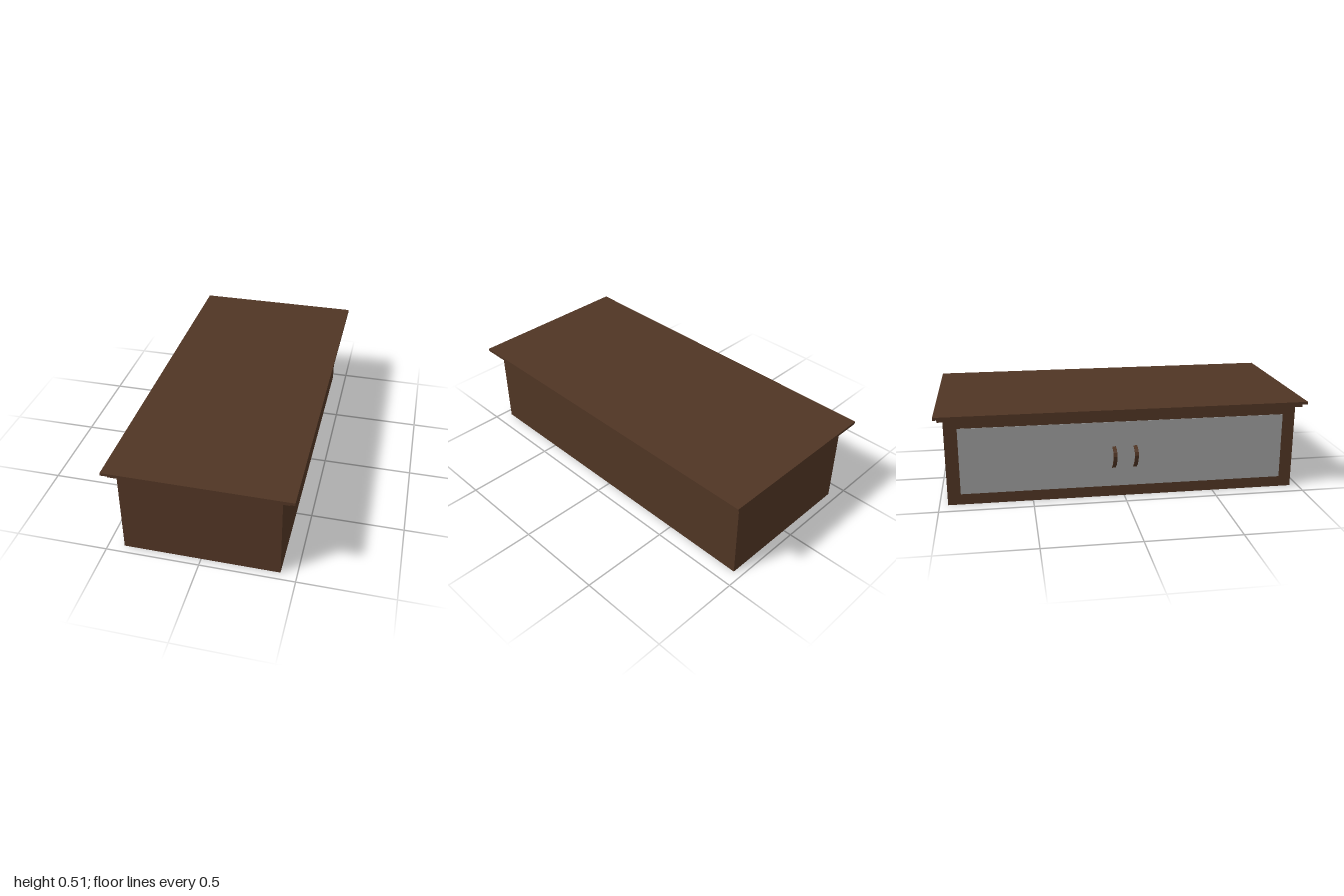
import * as THREE from 'three';

export function createModel() {
  const model = new THREE.Group();
  const wood = new THREE.MeshStandardMaterial({ color: 0x503524 });
  wood.name = 'dark wood';
  const panel = new THREE.MeshStandardMaterial({ color: 0x9c9c9c });
  panel.name = 'grey panel';

  const box = (name, w, h, d, x, y, z, material = wood) => {
    const mesh = new THREE.Mesh(new THREE.BoxGeometry(w, h, d), material);
    mesh.name = name;
    mesh.position.set(x, y, z);
    model.add(mesh);
  };

  // Cabinet body and stepped top
  box('body', 0.83, 0.475, 1.91, 0, 0.2375, 0);
  box('moulding', 0.904, 0.02, 1.964, 0, 0.485, 0);
  box('topSlab', 0.96, 0.015, 2, 0, 0.5025, 0);

  // Inset panel on the handle side
  box('doorPanel', 0.006, 0.366, 1.77, -0.415, 0.243, 0, panel);

  // Crescent pull handles: outer curve down, inner curve back up
  const outer = [[-0.423, 0.29], [-0.459, 0.281], [-0.474, 0.269], [-0.48, 0.25],
    [-0.473, 0.221], [-0.449, 0.189], [-0.421, 0.17], [-0.421, 0.166], [-0.414, 0.166]];
  const inner = [[-0.414, 0.171], [-0.421, 0.173], [-0.446, 0.195], [-0.465, 0.228],
    [-0.467, 0.252], [-0.462, 0.27], [-0.454, 0.277], [-0.423, 0.285]];
  const profile = new THREE.Shape([...outer, ...inner].map(([x, y]) => new THREE.Vector2(x, y)));
  const width = 0.02;
  const handleGeometry = new THREE.ExtrudeGeometry(profile, { depth: width, bevelEnabled: false });
  handleGeometry.translate(0, 0, -width / 2);
  for (const side of [-1, 1]) {
    const handle = new THREE.Mesh(handleGeometry, wood);
    handle.name = side < 0 ? 'backHandle' : 'frontHandle';
    handle.position.z = side * 0.058;
    model.add(handle);
  }

  return model;
}
